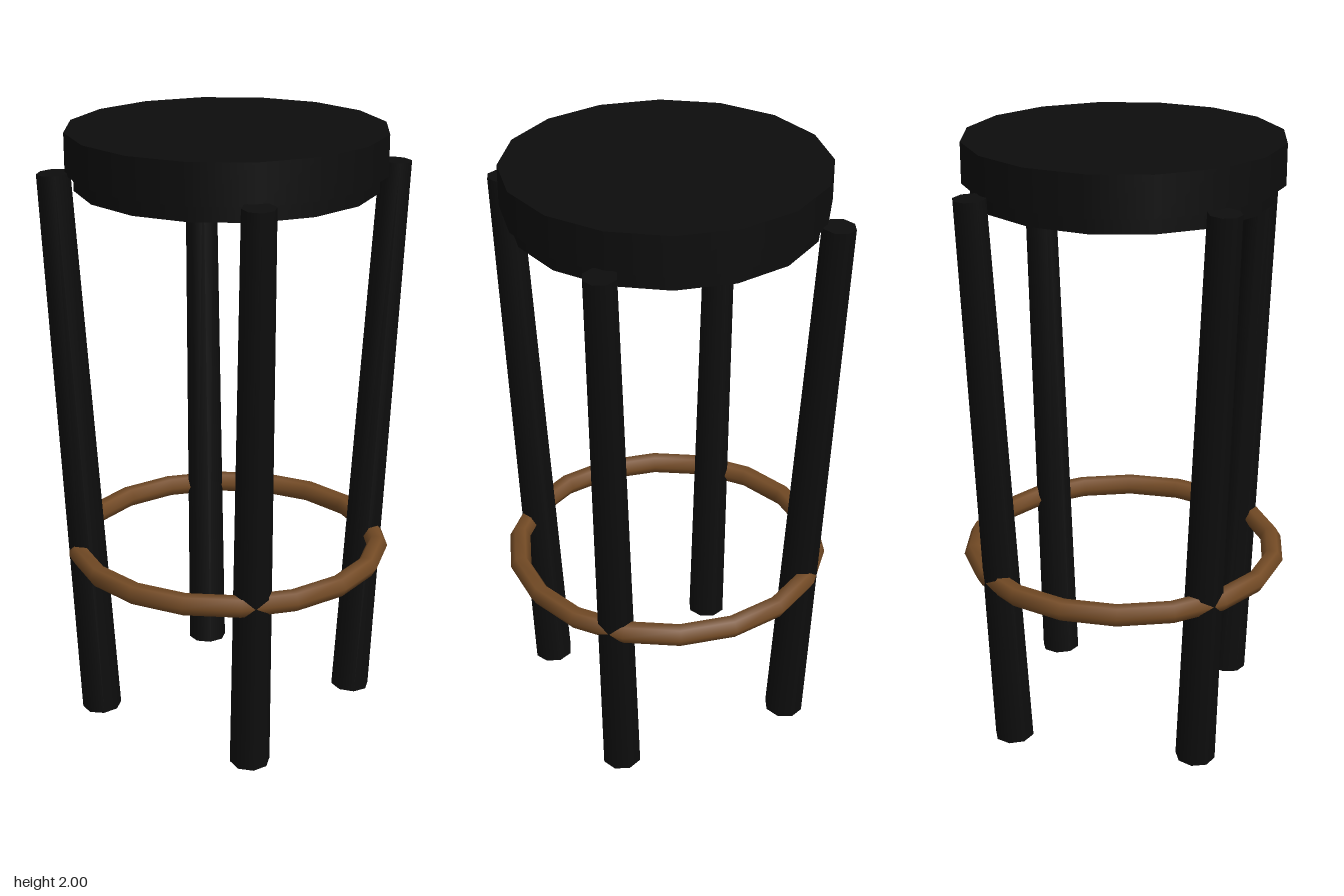
import * as THREE from 'three';

export function createModel() {
  const stool = new THREE.Group();
  stool.name = 'stool';

  const black = new THREE.MeshStandardMaterial({ color: 0x0d0d0d });
  black.name = 'black';
  const bronze = new THREE.MeshStandardMaterial({ color: 0x744b25 });
  bronze.name = 'bronze';

  const add = (name, geometry, material) => {
    const mesh = new THREE.Mesh(geometry, material);
    mesh.name = name;
    stool.add(mesh);
    return mesh;
  };

  // Seat cushion and the smaller plate beneath it
  const disc = (name, radius, bottom, top) => {
    add(name, new THREE.CylinderGeometry(radius, radius, top - bottom, 16), black)
      .position.y = (top + bottom) / 2;
  };
  disc('seat', 0.508, 1.87, 2);
  disc('seatPlate', 0.482, 1.818, 1.87);

  // Four tapered legs, leaning outward towards the top
  const up = new THREE.Vector3(0, 1, 0);
  for (const [end, sz] of [['front', 1], ['back', -1]]) {
    for (const [side, sx] of [['Left', 1], ['Right', -1]]) {
      const foot = new THREE.Vector3(0.311 * sx, 0.004, 0.311 * sz);
      const head = new THREE.Vector3(0.384 * sx, 1.877, 0.384 * sz);
      const axis = head.clone().sub(foot);
      const leg = add(`${end}${side}Leg`,
        new THREE.CylinderGeometry(0.053, 0.066, axis.length(), 8), black);
      leg.position.addVectors(foot, head).multiplyScalar(0.5);
      leg.quaternion.setFromUnitVectors(up, axis.normalize());
    }
  }

  // Foot ring
  const ring = new THREE.TorusGeometry(0.505, 0.035, 6, 18);
  ring.rotateX(Math.PI / 2);
  add('footRing', ring, bronze).position.y = 0.598;

  return stool;
}
